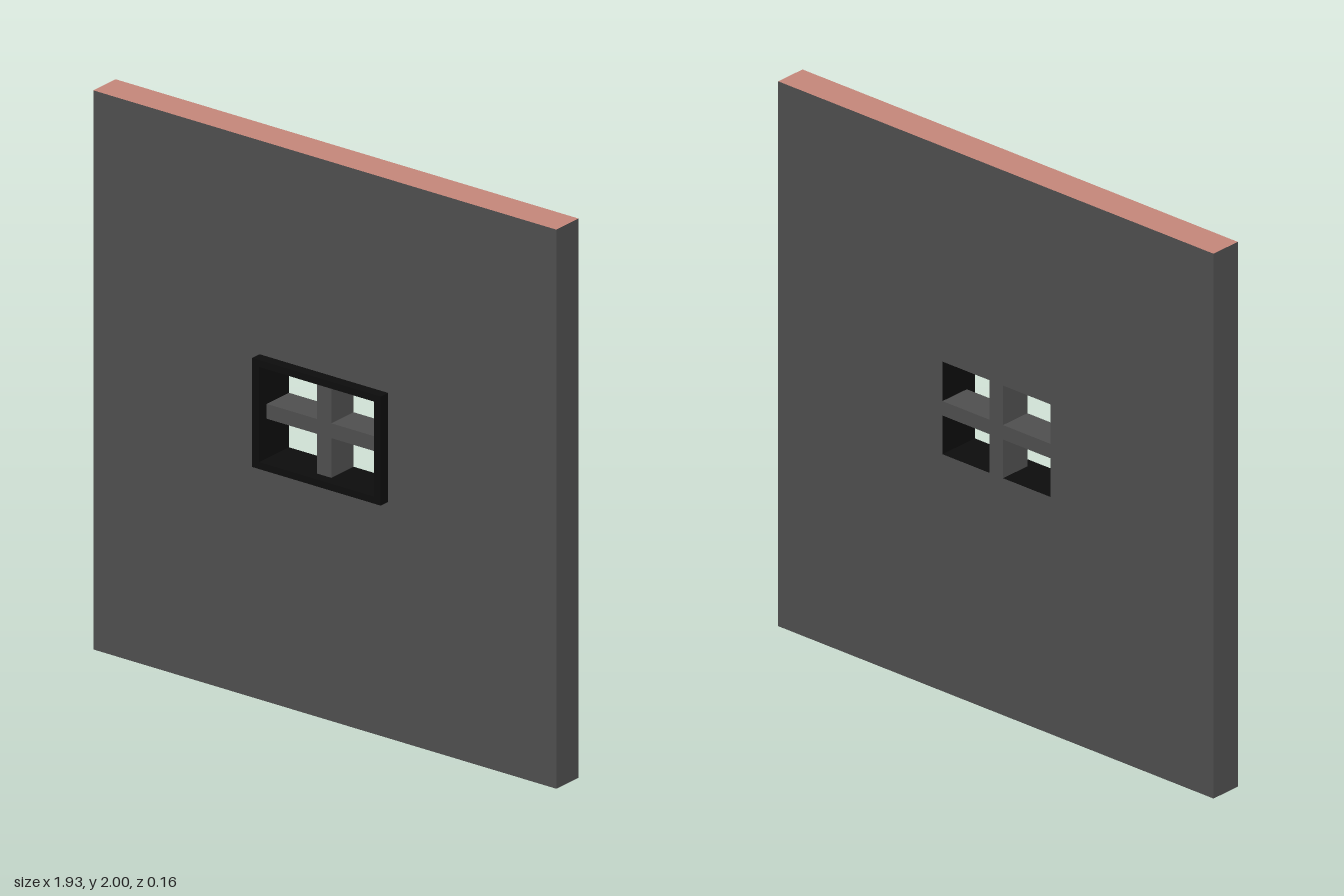
import * as THREE from 'three';

const mat = (name, color) => {
  const m = new THREE.MeshStandardMaterial({ color });
  m.name = name;
  return m;
};

// Corner points of a rectangle
const rect = (x0, y0, x1, y1) =>
  [[x0, y0], [x1, y0], [x1, y1], [x0, y1]].map(([x, y]) => new THREE.Vector2(x, y));

// Extrude an outline, with an optional opening, between two depths
function slab(outline, opening, back, front) {
  const shape = new THREE.Shape(outline);
  if (opening) shape.holes.push(new THREE.Path(opening));
  const geo = new THREE.ExtrudeGeometry(shape, { depth: front - back, bevelEnabled: false });
  return geo.translate(0, 0, back);
}

export function createModel() {
  const group = new THREE.Group();
  const grey = mat('wall grey', 0x4f4f4f);
  const brick = mat('brick edge', 0xc4867a);
  const black = mat('frame black', 0x0d0d0d);
  const add = (name, geo, material) => {
    const mesh = new THREE.Mesh(geo, material);
    mesh.name = name;
    group.add(mesh);
  };

  const W = 0.967, H = 2, BACK = -0.08, FRONT = 0.04;
  const L = -0.243, R = 0.237, B = 0.87, T = 1.21; // window opening
  const opening = rect(L, B, R, T);

  // Wall: grey faces, brick top and bottom edges, black window reveals
  const wall = slab(rect(-W, 0, W, H), opening, BACK, FRONT);
  const pos = wall.attributes.position, nor = wall.attributes.normal;
  wall.clearGroups();
  for (let i = 0; i < pos.count; i += 3) {
    let index = 0;
    if (Math.abs(nor.getZ(i)) < 0.5) {
      const inReveal = [0, 1, 2].every(k => Math.abs(pos.getX(i + k)) < 0.5);
      if (inReveal) index = 2;
      else if (Math.abs(nor.getY(i)) > 0.5) index = 1;
    }
    wall.addGroup(i, 3, index);
  }
  add('wall', wall, [grey, brick, black]);

  // Raised frame around the window
  add('windowFrame', slab(rect(-0.273, 0.845, 0.264, 1.235), opening, FRONT, 0.08), black);

  // Cross-shaped window bars, as deep as the wall
  const x0 = -0.032, x1 = 0.027, y0 = 1.012, y1 = 1.065;
  const cross = [
    [x0, B], [x1, B], [x1, y0], [R, y0], [R, y1], [x1, y1],
    [x1, T], [x0, T], [x0, y1], [L, y1], [L, y0], [x0, y0],
  ].map(([x, y]) => new THREE.Vector2(x, y));
  add('windowBars', slab(cross, null, BACK, FRONT), grey);

  return group;
}
